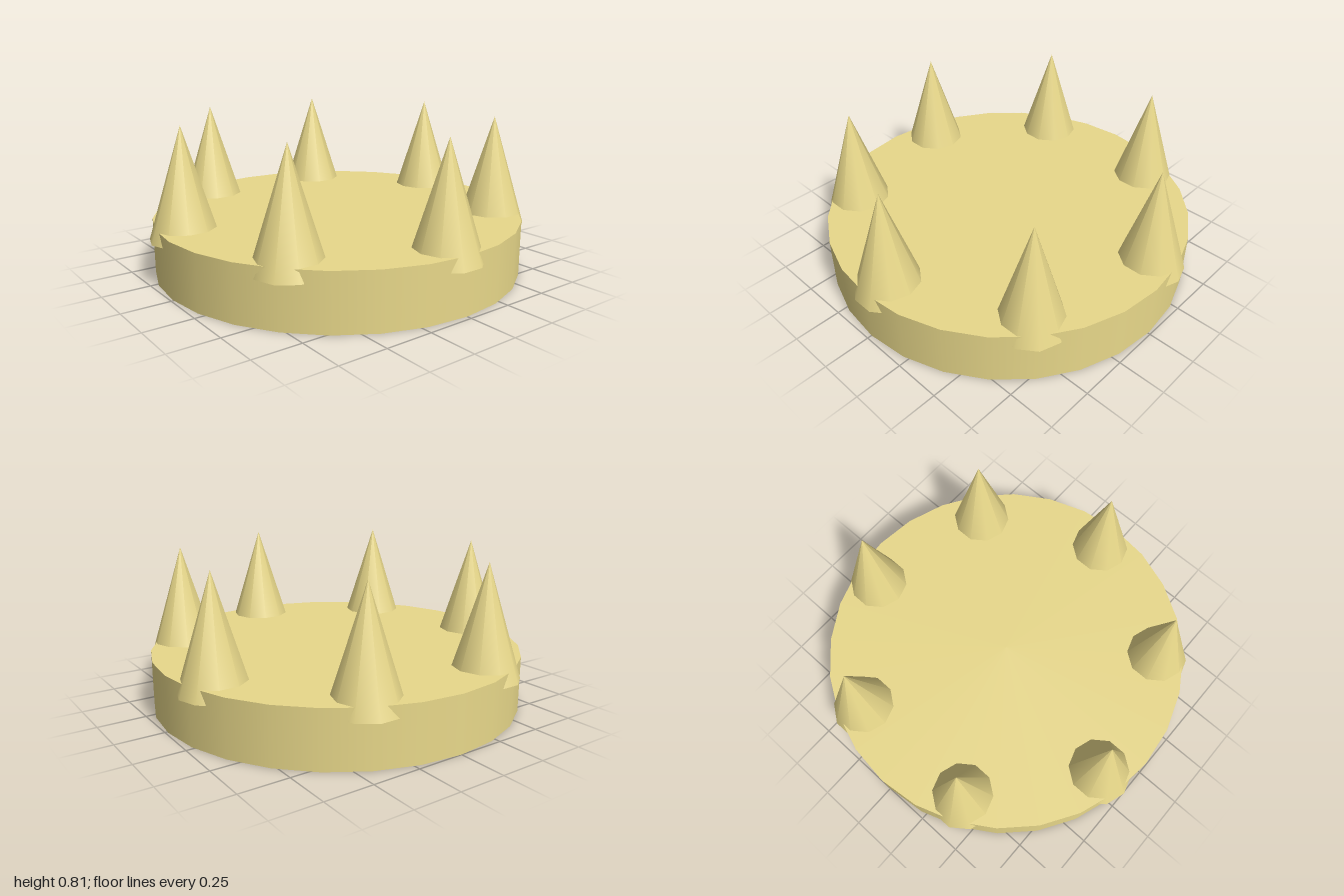
import * as THREE from 'three';

export function createModel() {
  const model = new THREE.Group();
  model.name = 'spikedDisc';
  const material = new THREE.MeshStandardMaterial({ color: 0xe8d88a });
  const centreX = -0.012;

  // Flat round base
  const baseHeight = 0.292;
  const base = new THREE.Mesh(new THREE.CylinderGeometry(0.988, 0.988, baseHeight, 28), material);
  base.name = 'base';
  base.position.set(centreX, baseHeight / 2, 0);
  model.add(base);

  // Ring of seven spikes, sunk into the rim and all facing the same way
  const spikeCount = 7, ringRadius = 0.84, spikeBottom = 0.228, spikeHeight = 0.58;
  const spikeGeometry = new THREE.ConeGeometry(0.181, spikeHeight, 10);
  const spikes = new THREE.Group();
  spikes.name = 'spikes';
  for (let i = 0; i < spikeCount; i++) {
    const angle = (i / spikeCount) * Math.PI * 2;
    const spike = new THREE.Mesh(spikeGeometry, material);
    spike.name = `spike${i + 1}`;
    spike.position.set(
      centreX + ringRadius * Math.cos(angle),
      spikeBottom + spikeHeight / 2,
      ringRadius * Math.sin(angle)
    );
    spikes.add(spike);
  }
  model.add(spikes);

  return model;
}
